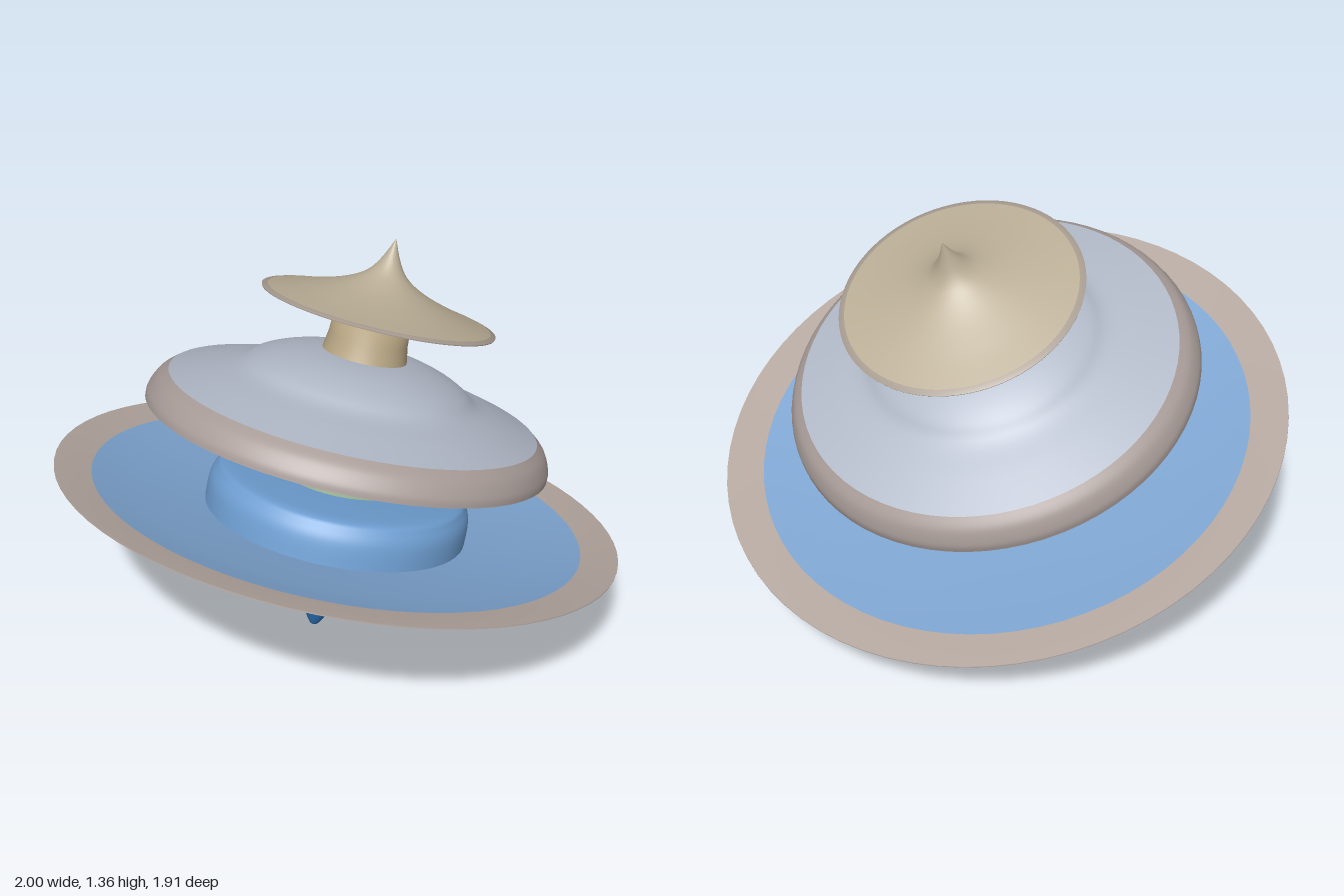
import * as THREE from 'three';

const mat = (color) => new THREE.MeshStandardMaterial({ color, side: THREE.DoubleSide });

// Turned surface through [radius, height] points, listed counter-clockwise (bottom, rim, top)
function turned(name, color, pts, smooth = true) {
  let p = pts.map(([r, y]) => new THREE.Vector2(r, y));
  if (smooth) {
    p = new THREE.SplineCurve(p).getPoints(pts.length * 4);
    p.forEach((v) => { v.x = Math.max(v.x, 0); });
  }
  const mesh = new THREE.Mesh(new THREE.LatheGeometry(p, 72), mat(color));
  mesh.name = name;
  return mesh;
}

// Group of turned parts leaning back, and very slightly to one side
function tier(name, x, y, z, tiltDegrees, parts) {
  const g = new THREE.Group();
  g.name = name;
  g.position.set(x, y, z);
  g.rotation.set(THREE.MathUtils.degToRad(-tiltDegrees), 0, -0.02);
  g.add(...parts);
  return g;
}

export function createModel() {
  const top = new THREE.Group();
  top.name = 'spinningTop';

  // Wide dish with pointed foot, raised hub and flared stem
  top.add(tier('lowerTier', 0, 0.473, 0, 17.1, [
    turned('pointedFoot', 0x2a6cae,
      [[0, -0.495], [0.018, -0.488], [0.065, -0.405], [0.12, -0.31], [0.17, -0.262], [0.25, -0.22]]),
    turned('dishUnderside', 0x5f8cbc,
      [[0.25, -0.22], [0.45, -0.168], [0.65, -0.122], [0.85, -0.062]]),
    turned('dishUndersideRim', 0x8a8a90, [[0.85, -0.062], [0.93, -0.032], [1, -0.004]]),
    turned('dishRim', 0xb5a8a0, [[1, -0.004], [1, 0.002], [0.87, -0.014]], false),
    turned('dishTop', 0x7fa6d2, [[0.87, -0.014], [0.75, -0.035], [0.6, -0.055], [0.465, -0.07]]),
    turned('hub', 0x6f9fd2,
      [[0.465, -0.07], [0.463, 0.01], [0.445, 0.055], [0.42, 0.078], [0.33, 0.086], [0.235, 0.09]]),
    turned('lowerStem', 0x8fa888,
      [[0.235, 0.09], [0.195, 0.125], [0.17, 0.18], [0.16, 0.25], [0.157, 0.35], [0.155, 0.5]]),
  ]));

  // Hollow domed canopy with a short neck
  top.add(tier('middleTier', -0.012, 0.711, -0.069, 19.8, [
    turned('canopyRim', 0xa89c98, [[0.711, 0], [0.708, 0.03], [0.685, 0.075], [0.65, 0.106]]),
    turned('canopy', 0xb2bac8,
      [[0.65, 0.106], [0.53, 0.145], [0.425, 0.178], [0.37, 0.215], [0.31, 0.243], [0.23, 0.267], [0.13, 0.282], [0, 0.285]]),
    turned('canopyInside', 0x9a9ca4,
      [[0, 0.265], [0.22, 0.248], [0.3, 0.225], [0.41, 0.162], [0.63, 0.092], [0.685, 0.05], [0.711, 0]]),
    turned('upperNeck', 0xb8a684, [[0.15, 0.27], [0.138, 0.34], [0.133, 0.455], [0, 0.455]], false),
  ]));

  // Pointed hat with a flat underside
  top.add(tier('upperTier', 0.003, 1.12, -0.235, 21.8, [
    turned('hatUnderside', 0xa09a8c, [[0, 0.012], [0.2, 0.008], [0.408, -0.003]], false),
    turned('hatRim', 0xa89c90, [[0.408, -0.003], [0.41, 0.002], [0.39, 0.008]], false),
    turned('hat', 0xbaae96,
      [[0.39, 0.008], [0.29, 0.032], [0.18, 0.066], [0.105, 0.1], [0.06, 0.135], [0.028, 0.185], [0, 0.25]]),
  ]));

  return top;
}
